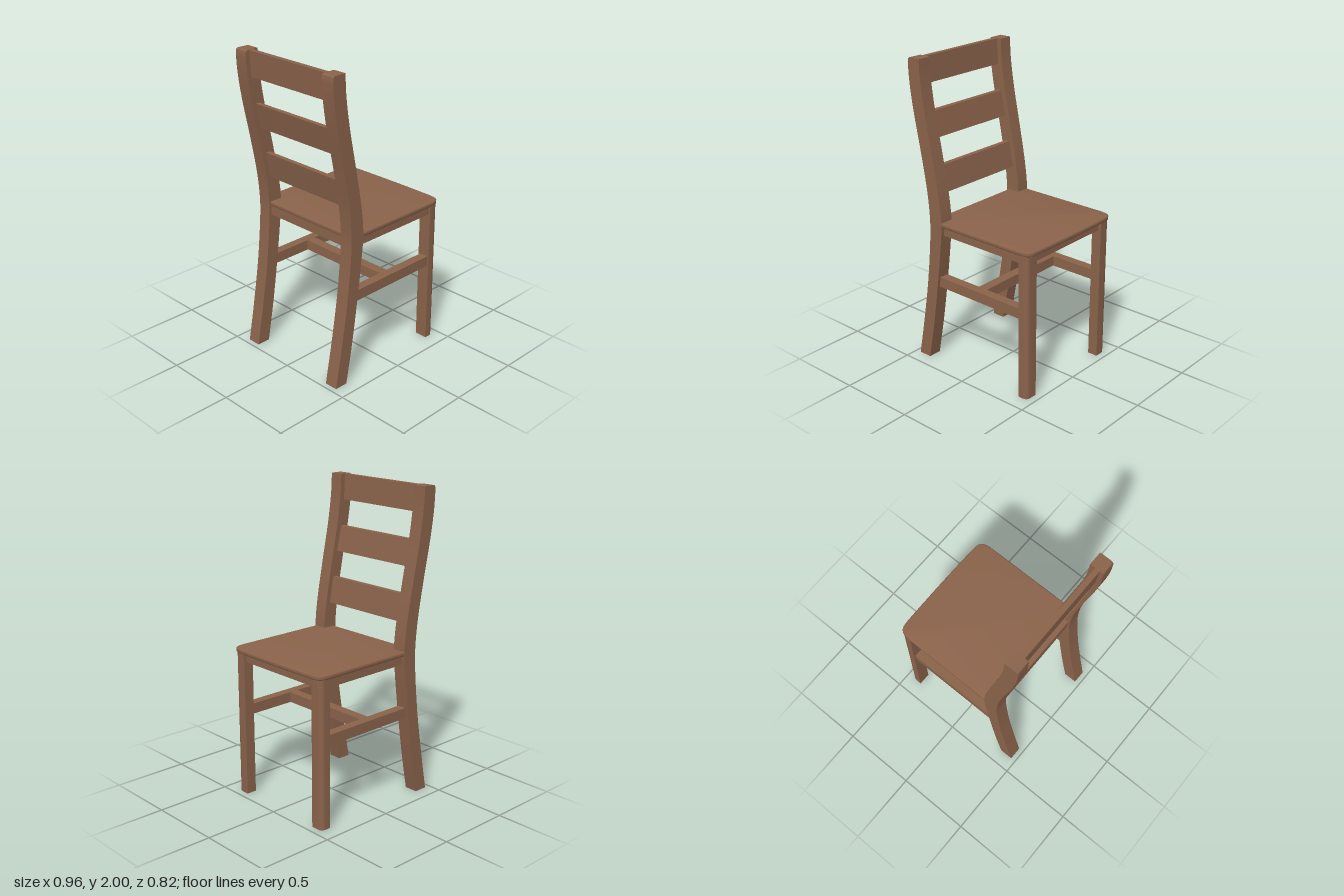
import * as THREE from 'three';
import { toCreasedNormals } from 'three/addons/utils/BufferGeometryUtils.js';

export function createModel() {
  const chair = new THREE.Group();
  chair.name = 'chair';
  const wood = new THREE.MeshStandardMaterial({ color: 0x8b634b });
  wood.name = 'brown wood';

  const add = (name, geometry) => {
    const mesh = new THREE.Mesh(geometry, wood);
    mesh.name = name;
    chair.add(mesh);
    return mesh;
  };
  // Box given by its extents on each axis
  const box = (name, x0, x1, y0, y1, z0, z1) =>
    add(name, new THREE.BoxGeometry(x1 - x0, y1 - y0, z1 - z0)
      .translate((x0 + x1) / 2, (y0 + y1) / 2, (z0 + z1) / 2));
  // Side profile in x/y, extruded from z0 to z1
  const profile = (name, shape, z0, z1) => {
    const geo = new THREE.ExtrudeGeometry(shape, { depth: z1 - z0, bevelEnabled: false, curveSegments: 8 });
    return add(name, toCreasedNormals(geo.translate(0, 0, z0), 0.5));
  };
  const curve = (points) =>
    new THREE.SplineCurve(points.map(([x, y]) => new THREE.Vector2(x, y))).getPoints(32);

  // Curved back posts, from the floor to the top of the backrest
  const frontEdge = curve([[-0.375, 0], [-0.325, 0.27], [-0.28, 0.57], [-0.245, 0.85], [-0.235, 1],
    [-0.255, 1.18], [-0.3, 1.42], [-0.35, 1.67], [-0.378, 1.86], [-0.386, 2]]);
  const rearEdge = curve([[-0.465, 0], [-0.415, 0.27], [-0.367, 0.57], [-0.338, 0.85], [-0.334, 1],
    [-0.351, 1.18], [-0.394, 1.42], [-0.445, 1.67], [-0.472, 1.85], [-0.479, 1.975]]);
  const post = new THREE.Shape([...frontEdge, new THREE.Vector2(-0.465, 2),
    new THREE.Vector2(-0.475, 1.994), ...rearEdge.reverse()]);
  profile('rightBackPost', post, -0.41, -0.32);
  profile('leftBackPost', post, 0.32, 0.41);

  // Leaning back slats: bottom y, top y, front x at the bottom and top
  for (const [y0, y1, x0, x1] of [[1.157, 1.328, -0.284, -0.315], [1.498, 1.662, -0.35, -0.385],
    [1.833, 1.998, -0.41, -0.42]]) {
    const t = 0.032;
    const slat = new THREE.Shape([[x0, y0], [x1, y1], [x1 - t, y1], [x0 - t, y0]]
      .map(([x, y]) => new THREE.Vector2(x, y)));
    profile('backSlat', slat, -0.325, 0.325);
  }

  // Seat board with rounded front corners and a slightly bowed front
  const b = 0.007, back = -0.32 + b, front = 0.478 - b, w = 0.408 - b;
  const seat = new THREE.Shape();
  seat.moveTo(back, -w);
  seat.lineTo(0.38, -w);
  seat.bezierCurveTo(0.455, -w + 0.005, front - 0.008, -w + 0.01, front - 0.005, -0.31);
  seat.quadraticCurveTo(front + 0.002, 0, front - 0.005, 0.31);
  seat.bezierCurveTo(front - 0.008, w - 0.01, 0.455, w - 0.005, 0.38, w);
  seat.lineTo(back, w);
  const seatGeo = new THREE.ExtrudeGeometry(seat, {
    depth: 0.03 - 2 * b, bevelThickness: b, bevelSize: b, bevelSegments: 3, curveSegments: 10,
  });
  add('seat', toCreasedNormals(seatGeo.rotateX(-Math.PI / 2).translate(0, 0.96 + b, 0), 0.6));

  // Seat frame below the board
  box('seatFrame', -0.318, 0.435, 0.9, 0.962, -0.385, 0.385);

  // Front legs with a rounded outer front corner, and side stretchers
  for (const s of [1, -1]) {
    const side = s > 0 ? 'left' : 'right';
    const r = 0.035, x0 = 0.386, x1 = 0.454, z0 = 0.315, z1 = 0.4;
    const leg = new THREE.Shape();
    leg.moveTo(x0, s * z0);
    leg.lineTo(x1, s * z0);
    leg.lineTo(x1, s * (z1 - r));
    leg.quadraticCurveTo(x1, s * z1, x1 - r, s * z1);
    leg.lineTo(x0, s * z1);
    const legGeo = new THREE.ExtrudeGeometry(leg, { depth: 0.962, bevelEnabled: false, curveSegments: 8 });
    add(side + 'FrontLeg', toCreasedNormals(legGeo.rotateX(-Math.PI / 2), 0.5));
    // The leg outline maps to -z, so the stretcher sits on the matching side
    const z = -s * 0.36;
    box('sideStretcher', -0.31, 0.39, 0.535, 0.604, z - 0.03, z + 0.03);
  }
  chair.getObjectByName('leftFrontLeg').name = 'frontLegA';
  chair.getObjectByName('rightFrontLeg').name = 'frontLegB';

  // Cross stretcher joining the two sides
  box('crossStretcher', 0, 0.065, 0.536, 0.603, -0.335, 0.335);

  return chair;
}
